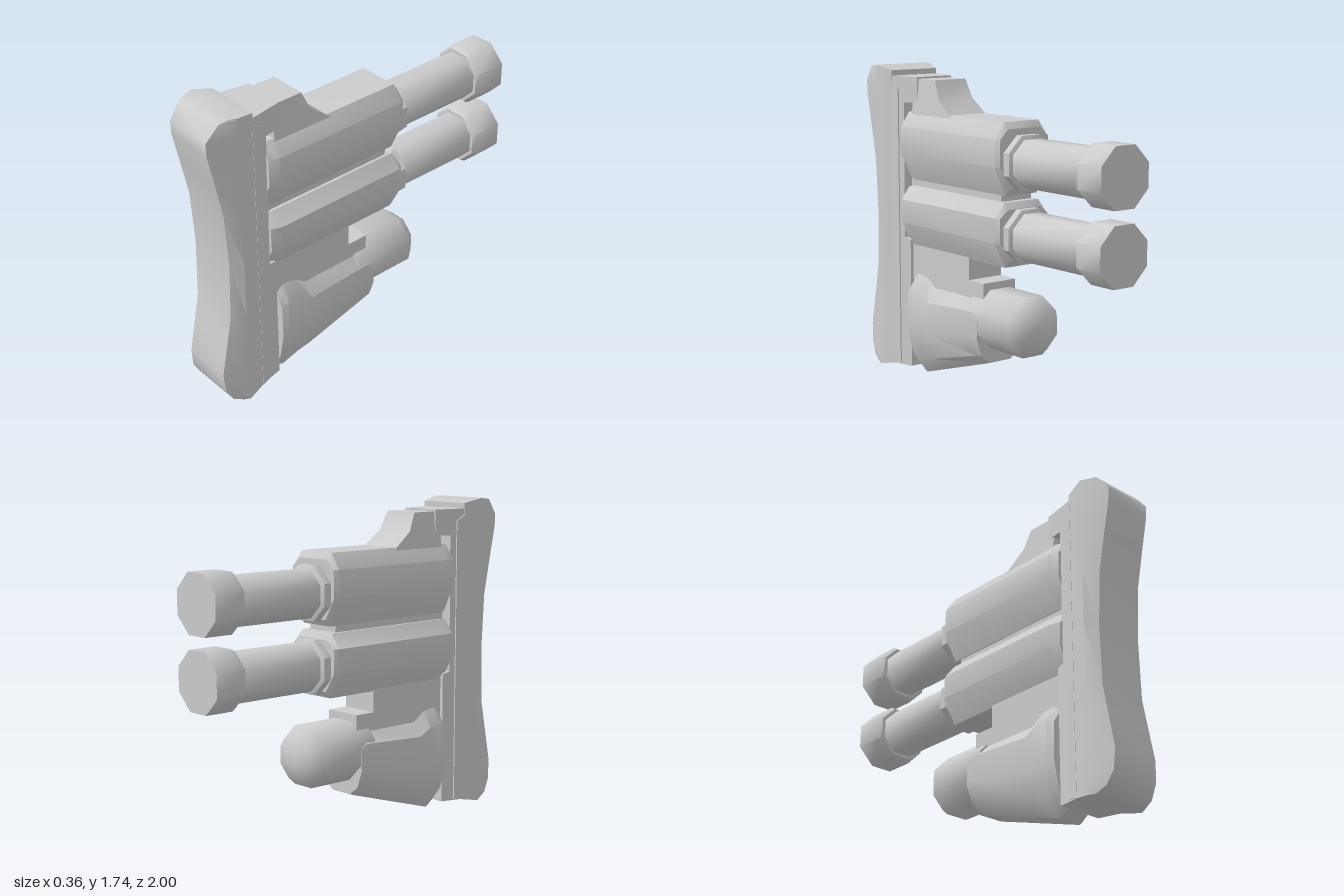
import * as THREE from 'three';
import { toCreasedNormals } from 'three/addons/utils/BufferGeometryUtils.js';

const material = new THREE.MeshStandardMaterial({ color: 0xcccccc });

function addMesh(group, name, geometry, crease = 0.7) {
  const mesh = new THREE.Mesh(toCreasedNormals(geometry, crease), material);
  mesh.name = name;
  group.add(mesh);
  return mesh;
}

// Closed skin through equal-length convex rings, wound outwards by its signed volume
function loft(rings) {
  const tris = [];
  const n = rings[0].length;
  for (let i = 0; i + 1 < rings.length; i++) {
    for (let j = 0; j < n; j++) {
      const k = (j + 1) % n, a = rings[i], b = rings[i + 1];
      tris.push([a[j], a[k], b[k]], [a[j], b[k], b[j]]);
    }
  }
  const last = rings[rings.length - 1];
  for (let j = 1; j + 1 < n; j++) {
    tris.push([rings[0][0], rings[0][j + 1], rings[0][j]], [last[0], last[j], last[j + 1]]);
  }
  let volume = 0;
  for (const [a, b, c] of tris) {
    volume += new THREE.Vector3(...a).dot(new THREE.Vector3(...b).cross(new THREE.Vector3(...c)));
  }
  if (volume < 0) tris.forEach((t) => t.reverse());
  const geometry = new THREE.BufferGeometry();
  geometry.setAttribute('position', new THREE.Float32BufferAttribute(tris.flat(2), 3));
  geometry.computeVertexNormals();
  return geometry;
}

// Side outline in [z, y], extruded across x; halfWidth(z, y) sets the thickness
function slab(outline, halfWidth) {
  const shape = new THREE.Shape(outline.map(([z, y]) => new THREE.Vector2(-z, y)));
  const geometry = new THREE.ExtrudeGeometry(shape, { depth: 2, bevelEnabled: false });
  geometry.translate(0, 0, -1).rotateY(Math.PI / 2);
  const p = geometry.attributes.position;
  for (let i = 0; i < p.count; i++) p.setX(i, p.getX(i) * halfWidth(p.getZ(i), p.getY(i)));
  geometry.computeVertexNormals();
  return geometry;
}

// Eight-sided turned part along z; points are [z, apothem]
function turned(points, y) {
  const k = 1 / Math.cos(Math.PI / 8);
  const profile = points.map(([z, r]) => new THREE.Vector2(r * k, -z));
  const geometry = new THREE.LatheGeometry(profile, 8, Math.PI / 8);
  return geometry.rotateX(-Math.PI / 2).translate(0, y, 0);
}

// Mirrored ring from half-section points [x, y] at a given z
function mirrorRing(half, z) {
  return [
    ...half.map(([x, y]) => [x, y, z]),
    ...[...half].reverse().map(([x, y]) => [-x, y, z]),
  ];
}

export function createModel() {
  const model = new THREE.Group();

  // Concave shoulder pad: rows of [y, front z, front half width]
  const padRows = [
    [0.01, 0.87, 0.165], [0.04, 0.93, 0.155], [0.11, 0.97, 0.145], [0.22, 0.98, 0.14],
    [0.4, 0.945, 0.14], [0.57, 0.912, 0.14], [0.9, 0.903, 0.14], [1.2, 0.92, 0.14],
    [1.4, 0.96, 0.14], [1.58, 0.998, 0.14], [1.65, 1, 0.14], [1.735, 0.93, 0.155], [1.745, 0.87, 0.165],
  ];
  addMesh(model, 'shoulderPad', loft(padRows.map(([y, z, w]) => {
    const backY = THREE.MathUtils.clamp(y, 0.03, 1.72);
    return [
      [0.155, backY, 0.73], [0.182, y, 0.84], [w, y, z],
      [-w, y, z], [-0.182, y, 0.84], [-0.155, backY, 0.73],
    ];
  })), 0.8);

  // Mounting plate with its hooked top
  const plateWidth = (z) => THREE.MathUtils.mapLinear(z, 0.54, 0.73, 0.118, 0.152);
  addMesh(model, 'mountingPlate', slab([
    [0.74, 0.03], [0.74, 1.69], [0.54, 1.69], [0.54, 1.55], [0.64, 1.545],
    [0.645, 0.78], [0.6, 0.77], [0.6, 0.035],
  ], plateWidth), 0.4);
  addMesh(model, 'plateRim', slab([
    [0.735, 0.03], [0.735, 1.66], [0.68, 1.62], [0.68, 0.04],
  ], (z) => THREE.MathUtils.mapLinear(z, 0.68, 0.735, 0.15, 0.158)), 0.4);

  // Two faceted housings with a barrel in each
  const housings = [
    { name: 'upper', top: 1.5, bottom: 1.115, axis: 1.287 },
    { name: 'lower', top: 1.08, bottom: 0.735, axis: 0.9 },
  ];
  for (const { name, top, bottom, axis } of housings) {
    const h = top - bottom;
    const section = (scale, z, lift = 0) => mirrorRing([
      [0.115 * scale, top - lift], [0.175 * scale, top - h * 0.22],
      [0.178 * scale, bottom + h * 0.4], [0.105 * scale, bottom + lift],
    ], z);
    addMesh(model, name + 'Housing', loft([
      section(0.88, 0.645, 0.01), section(1, 0.59), section(1, -0.22), section(0.92, -0.245, 0.035),
    ]), 0.6);
    addMesh(model, name + 'Collar', turned([
      [-0.23, 0], [-0.23, 0.13], [-0.255, 0.145], [-0.295, 0.145], [-0.305, 0.125], [-0.305, 0],
    ], axis));
    addMesh(model, name + 'Barrel', turned([
      [-0.25, 0], [-0.25, 0.125], [-0.82, 0.125], [-0.82, 0],
    ], axis), 0.9);
    addMesh(model, name + 'Muzzle', turned([
      [-0.81, 0], [-0.81, 0.142], [-0.835, 0.157], [-1, 0.157], [-1, 0],
    ], axis), 0.9);
  }

  // Spacer between the housings
  const spacer = new THREE.BoxGeometry(0.2, 0.08, 0.8);
  addMesh(model, 'spacer', spacer).position.set(0, 1.098, 0.22);

  // Sloped fin on the upper housing
  addMesh(model, 'topFin', slab([
    [0.58, 1.4], [0.58, 1.68], [0.39, 1.68], [0.345, 1.58], [0.22, 1.485], [0.15, 1.4],
  ], (z, y) => THREE.MathUtils.mapLinear(y, 1.4, 1.68, 0.135, 0.105)), 0.5);

  // Stepped block joining the lower body to the housings
  addMesh(model, 'joiningBlock', slab([
    [0.62, 0.4], [0.62, 0.8], [0.085, 0.8], [0.085, 0.62], [-0.04, 0.62], [-0.04, 0.4],
  ], () => 0.11), 0.4);

  // Lower body: stations of [z, top, bottom, scale]
  const stations = [
    [0.59, 0.57, 0.04, 0.94], [0.55, 0.6, 0.015, 1], [0.53, 0.598, 0.005, 1], [0.47, 0.59, 0.023, 1],
    [0.39, 0.535, 0.047, 1], [-0.01, 0.535, 0.167, 1], [-0.05, 0.5, 0.18, 0.97],
  ];
  addMesh(model, 'lowerBody', loft(stations.map(([z, top, bottom, s]) => {
    const h = top - bottom;
    return mirrorRing([
      [0.1 * s, top], [0.165 * s, top - h * 0.18], [0.17 * s, bottom + h * 0.45],
      [0.135 * s, bottom + h * 0.15], [0.07 * s, bottom],
    ], z);
  })), 0.6);

  // Rounded rod at the end of the lower body
  addMesh(model, 'roundedRod', turned([
    [0.05, 0], [0.05, 0.16], [-0.32, 0.16], [-0.38, 0.115], [-0.405, 0.04], [-0.406, 0],
  ], 0.42), 1.0);

  return model;
}
